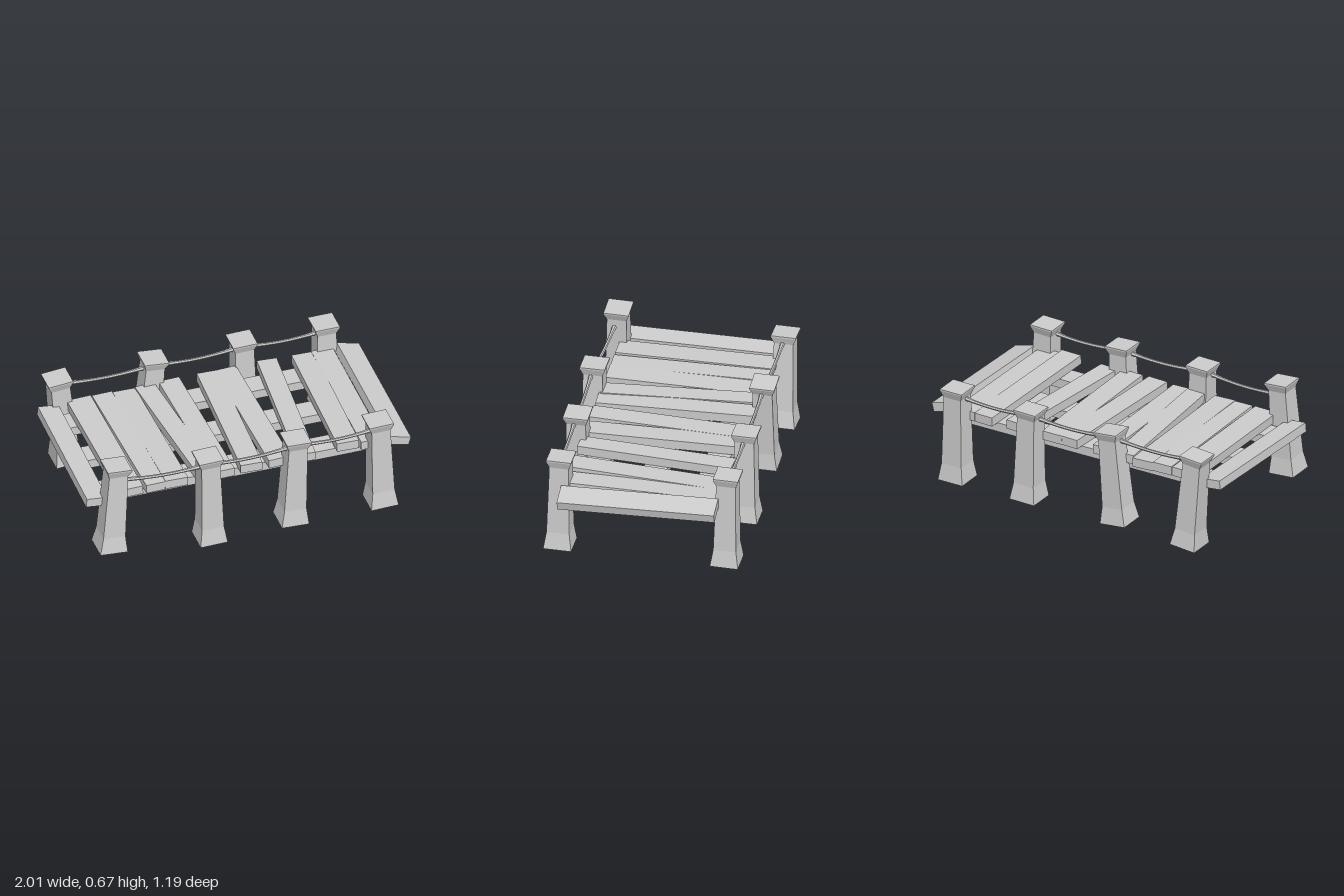
import * as THREE from 'three';

const material = new THREE.MeshStandardMaterial({ color: 0xcccccc, flatShading: true });

function addMesh(parent, name, geometry) {
  const mesh = new THREE.Mesh(geometry, material);
  mesh.name = name;
  parent.add(mesh);
  return mesh;
}

// Square post lofted through [height fraction, half width] rings; leans from foot to cap
const POST_RINGS = [[0, 0.084], [0.18, 0.068], [0.91, 0.058], [0.985, 0.075], [1, 0.075]];

function postGeometry([tx, ty, tz, bx, by, bz]) {
  const points = [];
  const quad = (a, b, c, d) => points.push(...a, ...b, ...c, ...a, ...c, ...d);
  const slopeX = (tx - bx) / (ty - by), slopeZ = (tz - bz) / (ty - by);
  const rings = POST_RINGS.map(([f, h]) =>
    [[-1, 1], [1, 1], [1, -1], [-1, -1]].map(([sx, sz]) => [
      bx + (tx - bx) * f + sx * h,
      by + (ty - by) * f - (sx * slopeX + sz * slopeZ) * h,
      bz + (tz - bz) * f + sz * h,
    ]));
  for (let i = 0; i < rings.length - 1; i++) {
    for (let k = 0; k < 4; k++) {
      const n = (k + 1) % 4;
      quad(rings[i][k], rings[i][n], rings[i + 1][n], rings[i + 1][k]);
    }
  }
  const bottom = rings[0], top = rings[rings.length - 1];
  quad(top[0], top[1], top[2], top[3]);
  quad(bottom[3], bottom[2], bottom[1], bottom[0]);
  const geometry = new THREE.BufferGeometry();
  geometry.setAttribute('position', new THREE.Float32BufferAttribute(points, 3));
  geometry.computeVertexNormals();
  return geometry;
}

// Sagging rope, thicker where it meets the posts
function ropeGeometry(a, b) {
  const middle = a.clone().lerp(b, 0.5);
  middle.y -= 0.045;
  const curve = new THREE.QuadraticBezierCurve3(a, middle, b);
  const segments = 10, sides = 6;
  const geometry = new THREE.TubeGeometry(curve, segments, 0.01, sides, false);
  const pos = geometry.attributes.position;
  const v = new THREE.Vector3();
  for (let i = 0; i < pos.count; i++) {
    const t = Math.floor(i / (sides + 1)) / segments;
    const centre = curve.getPointAt(t);
    v.fromBufferAttribute(pos, i).sub(centre).multiplyScalar(1 + 0.9 * (2 * t - 1) ** 4).add(centre);
    pos.setXYZ(i, v.x, v.y, v.z);
  }
  geometry.computeVertexNormals();
  return geometry;
}

export function createModel() {
  const dock = new THREE.Group();
  dock.name = 'dock';

  // Posts: cap centre x, y, z then foot centre x, y, z
  const sides = {
    front: [
      [-0.822, 0.66, 0.485, -0.865, 0.083, 0.492],
      [-0.265, 0.612, 0.51, -0.252, 0.014, 0.508],
      [0.283, 0.605, 0.495, 0.256, 0.02, 0.492],
      [0.793, 0.612, 0.487, 0.81, 0.02, 0.49],
    ],
    back: [
      [-0.855, 0.6, -0.51, -0.802, 0.008, -0.507],
      [-0.262, 0.61, -0.507, -0.318, 0.03, -0.503],
      [0.287, 0.608, -0.515, 0.298, 0.026, -0.515],
      [0.795, 0.613, -0.513, 0.798, 0.02, -0.506],
    ],
  };
  for (const [side, posts] of Object.entries(sides)) {
    posts.forEach((p) => addMesh(dock, side + 'Post', postGeometry(p)));

    // Ropes strung between neighbouring posts
    const anchors = posts.map((p) => new THREE.Vector3(
      p[0], 0.56, p[2] + (side === 'front' ? 0.013 : 0.007)));
    for (let i = 0; i < 3; i++) {
      addMesh(dock, side + 'Rope', ropeGeometry(anchors[i], anchors[i + 1]));
    }
  }

  // Long beams under the deck
  for (const z of [-0.345, -0.01, 0.335]) {
    addMesh(dock, 'beam', new THREE.BoxGeometry(1.74, 0.057, 0.14)).position.set(0, 0.368, z);
  }

  // Deck planks: x, centre y, width, pitch, yaw, roll
  const planks = [
    [-0.932, 0.407, 0.126, 0.01, -0.012, -0.1],
    [-0.73, 0.425, 0.15, 0, 0.01, 0.02],
    [-0.58, 0.424, 0.125, 0, 0.024, 0],
    [-0.45, 0.421, 0.14, -0.01, 0.014, -0.03],
    [-0.29, 0.427, 0.12, 0, 0.085, 0.02],
    [-0.165, 0.426, 0.13, 0.01, 0.03, 0],
    [0.04, 0.428, 0.132, 0, -0.045, 0],
    [0.182, 0.428, 0.135, 0, 0.025, 0.02],
    [0.39, 0.428, 0.12, 0.01, -0.078, 0],
    [0.632, 0.434, 0.135, -0.025, -0.035, 0],
    [0.765, 0.425, 0.132, 0, -0.005, 0],
    [0.925, 0.422, 0.142, 0.025, 0.008, -0.26],
  ];
  for (const [x, y, width, pitch, yaw, roll] of planks) {
    const plank = addMesh(dock, 'plank', new THREE.BoxGeometry(width, 0.056, 0.94));
    plank.position.set(x, y, 0);
    plank.rotation.set(pitch, yaw, roll);
  }

  return dock;
}
